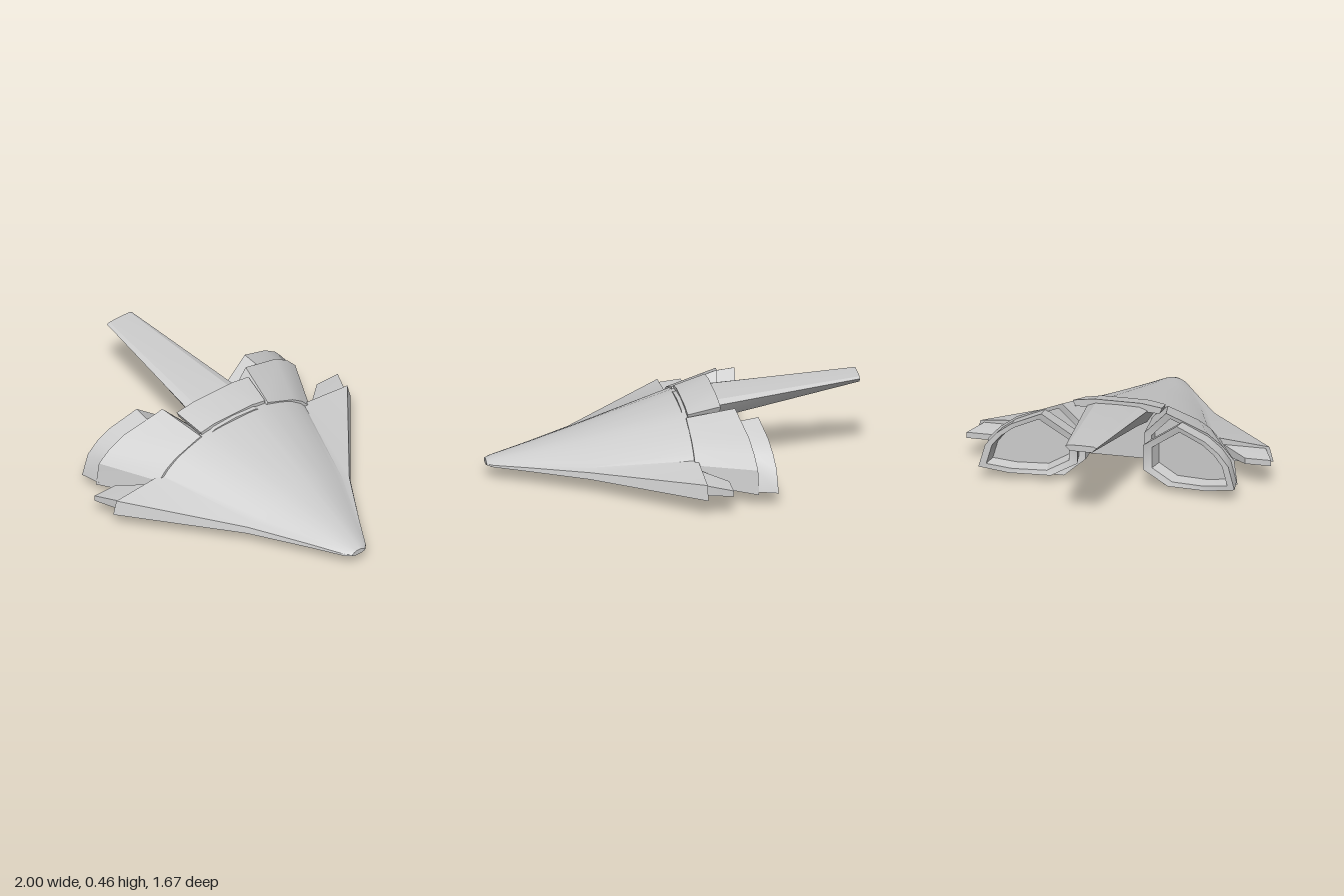
import * as THREE from 'three';
import { toCreasedNormals } from 'three/addons/utils/BufferGeometryUtils.js';

const hullGrey = new THREE.MeshStandardMaterial({ color: 0xcccccc });
hullGrey.name = 'hull grey';

// Skins a row of closed rings of [x, y, z], caps both ends and faces outward.
function loft(rings, crease = 0.45) {
  const n = rings[0].length;
  const tris = [];
  for (let r = 0; r < rings.length - 1; r++) {
    for (let i = 0; i < n; i++) {
      const j = (i + 1) % n;
      const a = rings[r][i], b = rings[r][j], c = rings[r + 1][j], d = rings[r + 1][i];
      tris.push([a, b, c], [a, c, d]);
    }
  }
  const cap = (ring, flip) => {
    const mid = [0, 1, 2].map(k => ring.reduce((s, p) => s + p[k], 0) / n);
    ring.forEach((p, i) => {
      const q = ring[(i + 1) % n];
      tris.push(flip ? [mid, q, p] : [mid, p, q]);
    });
  };
  cap(rings[0], true);
  cap(rings[rings.length - 1], false);
  let volume = 0;
  for (const [a, b, c] of tris) {
    volume += a[0] * (b[1] * c[2] - b[2] * c[1]) + a[1] * (b[2] * c[0] - b[0] * c[2])
      + a[2] * (b[0] * c[1] - b[1] * c[0]);
  }
  if (volume < 0) tris.forEach(t => t.reverse());
  const geo = new THREE.BufferGeometry();
  geo.setAttribute('position', new THREE.Float32BufferAttribute(tris.flat(2), 3));
  return toCreasedNormals(geo, crease);
}

// Full ring from a half section of [z, y], running from top centre to bottom centre.
function mirrorRing(x, half) {
  const inner = half.filter(p => p[0] > 0).reverse();
  return [...half.map(([z, y]) => [x, y, z]), ...inner.map(([z, y]) => [x, y, -z])];
}

// Shrinks a ring toward its middle and shifts it along x.
function inset(ring, s, dx) {
  const m = [1, 2].map(k => ring.reduce((t, p) => t + p[k], 0) / ring.length);
  return ring.map(([x, y, z]) => [x + dx, m[0] + (y - m[0]) * s, m[1] + (z - m[1]) * s]);
}

export function createModel() {
  const model = new THREE.Group();
  const add = (name, geo, parent = model) => {
    const mesh = new THREE.Mesh(geo, hullGrey);
    mesh.name = name;
    parent.add(mesh);
  };

  // Domed hull blended into the delta wings
  const noseSection = [[0, .112], [.015, .111], [.03, .109], [.042, .105], [.052, .101], [.06, .097],
    [.066, .093], [.072, .088], [.074, .078], [.05, .07], [.02, .066], [0, .066]];
  add('hullAndWings', loft([
    mirrorRing(1, noseSection.map(([z, y]) => [z * .6, .085 + (y - .085) * .65])),
    mirrorRing(.97, noseSection),
    mirrorRing(.8, [[0, .152], [.03, .151], [.06, .146], [.09, .136], [.115, .125], [.135, .115],
      [.15, .107], [.168, .1], [.172, .08], [.11, .068], [.05, .062], [0, .062]]),
    mirrorRing(.5, [[0, .228], [.06, .226], [.12, .215], [.18, .192], [.23, .168], [.27, .145],
      [.3, .13], [.345, .12], [.355, .085], [.22, .07], [.1, .058], [0, .058]]),
    mirrorRing(-.06, [[0, .365], [.12, .363], [.22, .35], [.33, .315], [.4, .283], [.46, .24],
      [.49, .207], [.79, .18], [.812, .1], [.5, .075], [.19, .05], [0, .05]]),
  ]));

  // Raised deck at the back of the hull
  add('rearDeck', loft([
    mirrorRing(-.05, [[0, .381], [.13, .38], [.22, .364], [.21, .335], [0, .345]]),
    mirrorRing(-.222, [[0, .425], [.13, .425], [.245, .408], [.23, .375], [0, .385]]),
  ], 0.2));

  // Long tapering tail boom
  add('tailBoom', loft([
    mirrorRing(-.03, [[0, .37], [.14, .36], [.18, .34], [.12, .25], [0, .25]]),
    mirrorRing(-.22, [[0, .405], [.12, .402], [.165, .385], [.11, .293], [0, .293]]),
    mirrorRing(-1, [[0, .465], [.07, .463], [.085, .455], [.06, .43], [0, .43]]),
  ], 0.3));

  // Engine sections as [z, y]
  const root = [[.23, .352], [.4, .288], [.465, .245], [.515, .19], [.53, .09],
    [.44, .06], [.22, .05], [.15, .12], [.15, .29]];
  const cowl = [[.285, .41], [.52, .33], [.61, .268], [.672, .2], [.69, .068],
    [.53, .022], [.275, .003], [.16, .1], [.16, .28]];
  const nozzle = [[.37, .385], [.53, .322], [.61, .265], [.665, .2], [.7, .075],
    [.54, .045], [.32, .037], [.18, .11], [.18, .25]];

  for (const [side, s] of [['left', 1], ['right', -1]]) {
    const engine = new THREE.Group();
    engine.name = s > 0 ? 'frontSideEngine' : 'backSideEngine';
    model.add(engine);
    const ring = (pts, xOf) => pts.map(([z, y]) => [xOf(z), y, z * s]);

    // Cowl with a rim and a shallow recess
    const lip = ring(cowl, z => -.25 - .15 * z);
    add('engineCowl', loft([ring(root, () => -.04), lip, inset(lip, .86, .005),
      inset(lip, .84, .06)]), engine);

    // Nozzle stepping out of the cowl
    const rim = ring(nozzle, z => -.345 - .16 * z);
    add('engineNozzle', loft([inset(ring(nozzle, z => -.235 - .15 * z), .93, 0), rim,
      inset(rim, .83, .005), inset(rim, .76, .08)]), engine);

    // Small flap behind the wing
    const flap = (x, zi, zo, lo, hi) =>
      [[x, lo, zi * s], [x, hi, zi * s], [x, hi, zo * s], [x, lo, zo * s]];
    add('wingFlap', loft([flap(-.04, .53, .765, .115, .17), flap(-.06, .54, .77, .115, .17),
      flap(-.193, .69, .833, .125, .157)], 0.2));
  }
  return model;
}
